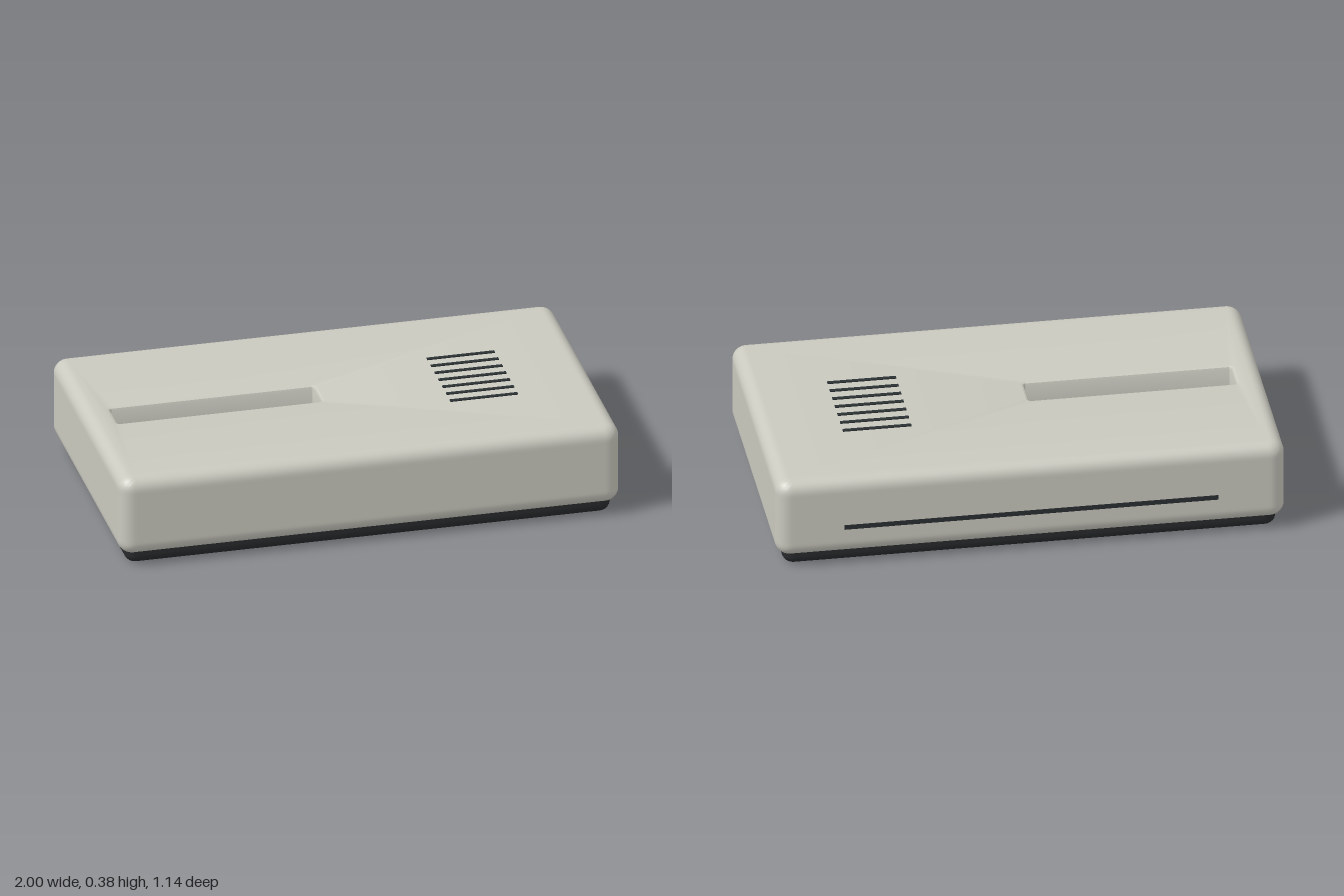
import * as THREE from 'three';
import { toCreasedNormals } from 'three/addons/utils/BufferGeometryUtils.js';

// rounded rectangle ring at height y, counter-clockwise seen from above
function ring({ hx, hz, r, y, cx = 0 }) {
  const pts = [];
  const n = 8, e = r * 0.2;
  for (let q = 0; q < 4; q++) {
    const mid = (q + 0.5) * Math.PI / 2;
    const kx = cx + Math.sign(Math.cos(mid)) * (hx - r);
    const kz = -Math.sign(Math.sin(mid)) * (hz - r);
    const a0 = q * Math.PI / 2, a1 = a0 + Math.PI / 2;
    const at = (a, back) => [
      kx + r * Math.cos(a) + back * Math.sin(a), y,
      kz - r * Math.sin(a) + back * Math.cos(a)];
    pts.push(at(a0, e)); // short flat lead-in keeps the straight sides flat
    for (let i = 0; i <= n; i++) pts.push(at(a0 + (a1 - a0) * i / n, 0));
    pts.push(at(a1, -e));
  }
  return pts;
}

// skin a list of rings into one surface
function loft(sections) {
  const rings = sections.map(ring);
  const m = rings[0].length;
  const index = [];
  for (let i = 0; i < rings.length - 1; i++) {
    for (let j = 0; j < m; j++) {
      const a = i * m + j, b = i * m + (j + 1) % m;
      index.push(a, b, b + m, a, b + m, a + m);
    }
  }
  const geo = new THREE.BufferGeometry();
  geo.setAttribute('position', new THREE.Float32BufferAttribute(rings.flat(2), 3));
  geo.setIndex(index);
  return toCreasedNormals(geo, 0.5);
}

// quarter-round edge sections; bottom edge curls outward, top edge curls inward
function roundEdge(hx, hz, r, y, top) {
  const out = [], n = 8;
  for (let i = 0; i <= n; i++) {
    const t = (top ? i : n - i) / n * Math.PI / 2;
    const inset = r * (1 - Math.cos(t));
    out.push({
      hx: hx - inset, hz: hz - inset, r: r + 0.005 - inset,
      y: y + (top ? -1 : 1) * r * (1 - Math.sin(t)),
    });
  }
  return out;
}

export function createModel() {
  const model = new THREE.Group();
  const shell = new THREE.MeshStandardMaterial({ color: 0xcac9bf });
  const dark = new THREE.MeshStandardMaterial({ color: 0x2b3033 });
  const black = new THREE.MeshStandardMaterial({ color: 0x292b2d });
  const add = (name, geo, mat, x = 0, y = 0, z = 0, parent = model) => {
    const mesh = new THREE.Mesh(geo, mat);
    mesh.name = name;
    mesh.position.set(x, y, z);
    parent.add(mesh);
    return mesh;
  };
  const point = (y) => ({ hx: 0.002, hz: 0.002, r: 0.001, y });

  // shell: underside, rounded sides, lid, then down into the slot
  const HX = 1, HZ = 0.57, R = 0.053, TOP = 0.38, LOW = 0.05;
  const slot = (inset, y) => ({ hx: 0.42 - inset, hz: 0.078 - inset, r: 0.022 - inset, y, cx: -0.48 });
  const slotFloor = 0.27;
  add('shell', loft([
    point(LOW),
    { hx: HX - R - 0.01, hz: HZ - R - 0.01, r: 0.005, y: LOW },
    ...roundEdge(HX, HZ, R, LOW, false),
    { hx: HX, hz: HZ, r: R + 0.005, y: LOW + R + 0.01 },
    { hx: HX, hz: HZ, r: R + 0.005, y: TOP - R - 0.01 },
    ...roundEdge(HX, HZ, R, TOP, true),
    { hx: HX - R - 0.01, hz: HZ - R - 0.01, r: 0.005, y: TOP },
    slot(0, TOP),
    slot(0.004, TOP - 0.001),
    slot(0.009, TOP - 0.004),
    slot(0.012, TOP - 0.01),
    slot(0.012, slotFloor - 0.02),
  ]), shell);

  // dark floor of the slot
  add('slotFloor', new THREE.BoxGeometry(0.825, 0.02, 0.14), dark, -0.48, slotFloor - 0.01, 0);

  // recessed base
  const BX = 0.97, BZ = 0.54, BR = 0.04;
  add('base', loft([
    point(0),
    { hx: BX - BR - 0.01, hz: BZ - BR - 0.01, r: 0.005, y: 0 },
    ...roundEdge(BX, BZ, BR, 0, false),
    { hx: BX, hz: BZ, r: BR + 0.005, y: 0.08 },
  ]), black);

  // row of vent bars on the lid
  const vents = new THREE.Group();
  vents.name = 'vents';
  model.add(vents);
  for (let i = -3; i <= 3; i++) {
    add('ventBar', new THREE.BoxGeometry(0.27, 0.01, 0.016), dark, 0.545, TOP - 0.001, i * 0.0625, vents);
  }

  // thin line across the back
  add('backSeam', new THREE.BoxGeometry(1.47, 0.02, 0.01), dark, 0, 0.17, -HZ + 0.004);
  return model;
}
